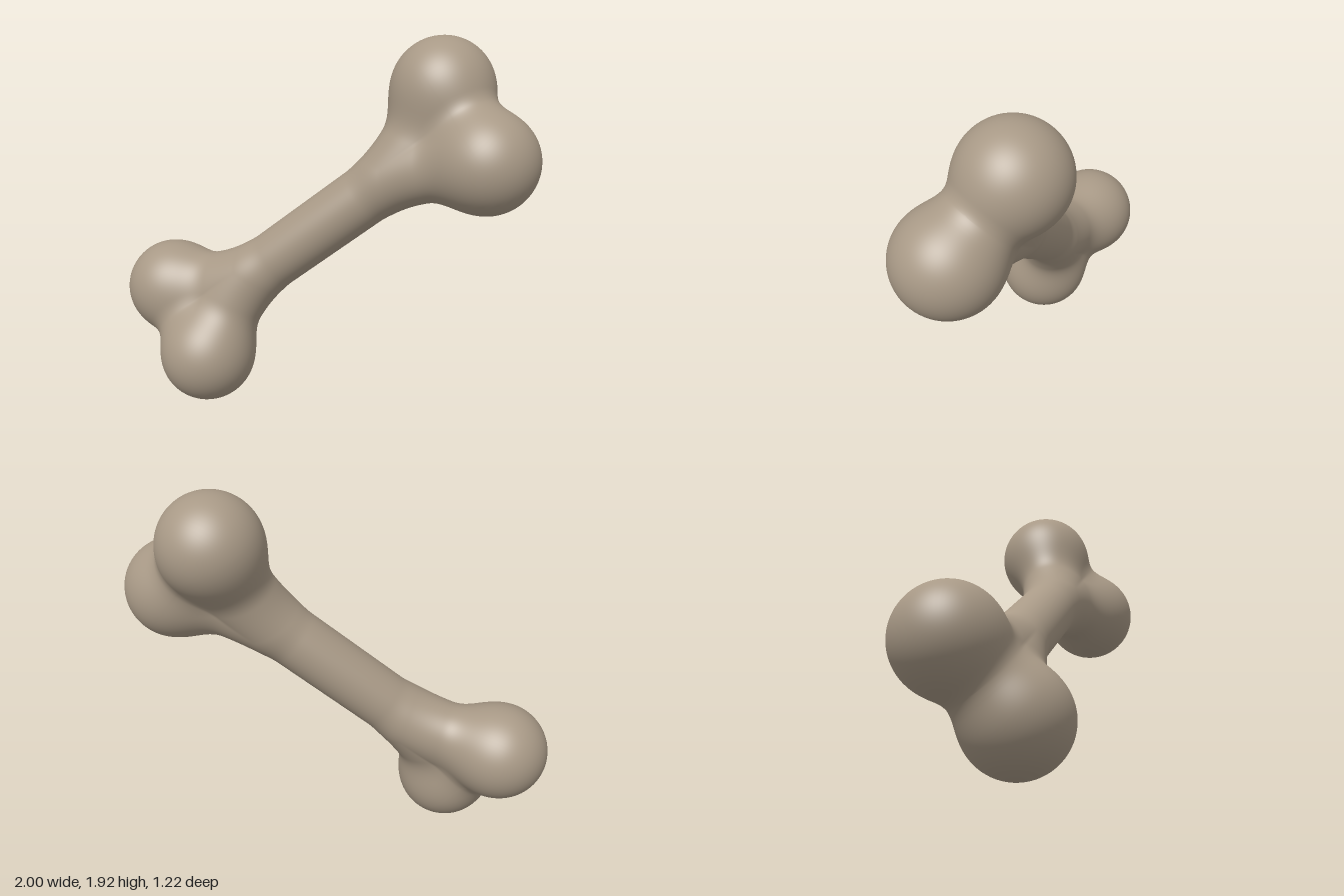
import * as THREE from 'three';
import { mergeVertices } from 'three/addons/utils/BufferGeometryUtils.js';

const V = (x, y, z) => new THREE.Vector3(x, y, z);

// Two rounded knobs at each end of the bone
const ends = [
  [{ c: V(0.6, 1.665, 0.085), r: 0.254 }, { c: V(0.752, 1.36, 0.355), r: 0.249 }],
  [{ c: V(-0.75, 0.535, -0.36), r: 0.25 }, { c: V(-0.58, 0.25, -0.08), r: 0.25 }],
];
const [top, bottom] = ends.map(([a, b]) => a.c.clone().lerp(b.c, 0.5));
const middle = top.clone().lerp(bottom, 0.5);
const SHAFT_R = 0.15;

// Distance to a rounded limb whose radius runs from ra to rb
const ab = V(0, 0, 0), ap = V(0, 0, 0);
function limb(p, a, b, ra, rb) {
  ab.subVectors(b, a);
  ap.subVectors(p, a);
  const t = THREE.MathUtils.clamp(ap.dot(ab) / ab.lengthSq(), 0, 1);
  return ap.addScaledVector(ab, -t).length() - (ra + (rb - ra) * t);
}

// Union of two distances with a soft fillet of width k
function blend(a, b, k) {
  const h = Math.max(k - Math.abs(a - b), 0);
  return Math.min(a, b) - (h * h) / (4 * k);
}

const forks = [top, bottom].map((end) => middle.clone().lerp(end, 0.52));

// Shaft, the flares that fork towards the knobs, and the knobs
function boneDistance(p) {
  let d = limb(p, top, bottom, SHAFT_R, SHAFT_R);
  ends.forEach((pair, i) => {
    const flare = Math.min(...pair.map((k) => limb(p, forks[i], k.c, 0.135, 0.175)));
    d = blend(d, flare, 0.1);
  });
  for (const k of ends.flat()) d = blend(d, p.distanceTo(k.c) - k.r, 0.1);
  return d;
}

// A capsule along the shaft, its vertices moved in or out to the bone's surface
function boneGeometry() {
  const length = top.distanceTo(bottom);
  const geo = new THREE.CapsuleGeometry(SHAFT_R, length, 56, 128, 150);
  const turn = new THREE.Quaternion().setFromUnitVectors(
    V(0, 1, 0), top.clone().sub(bottom).normalize());
  const pos = geo.attributes.position;
  const v = V(0, 0, 0), core = V(0, 0, 0), dir = V(0, 0, 0);
  for (let i = 0; i < pos.count; i++) {
    v.fromBufferAttribute(pos, i);
    core.set(0, THREE.MathUtils.clamp(v.y, -length / 2, length / 2), 0);
    dir.subVectors(v, core).normalize().applyQuaternion(turn);
    core.applyQuaternion(turn).add(middle);
    let reach = 0.75;
    for (let n = 0; n < 80; n++) {
      const d = boneDistance(v.copy(core).addScaledVector(dir, reach));
      reach -= d;
      if (Math.abs(d) < 0.0003) break;
    }
    v.copy(core).addScaledVector(dir, reach);
    pos.setXYZ(i, v.x, v.y, v.z);
  }
  // Weld the seam so the shading is smooth all round
  geo.deleteAttribute('uv');
  geo.deleteAttribute('normal');
  const welded = mergeVertices(geo, 0.0002);
  welded.computeVertexNormals();
  return welded;
}

export function createModel() {
  const group = new THREE.Group();
  group.name = 'bone';
  const boneMaterial = new THREE.MeshStandardMaterial({ color: 0xa89986 });
  boneMaterial.name = 'bone beige';
  const bone = new THREE.Mesh(boneGeometry(), boneMaterial);
  bone.name = 'shaftWithKnobs';
  group.add(bone);
  return group;
}
